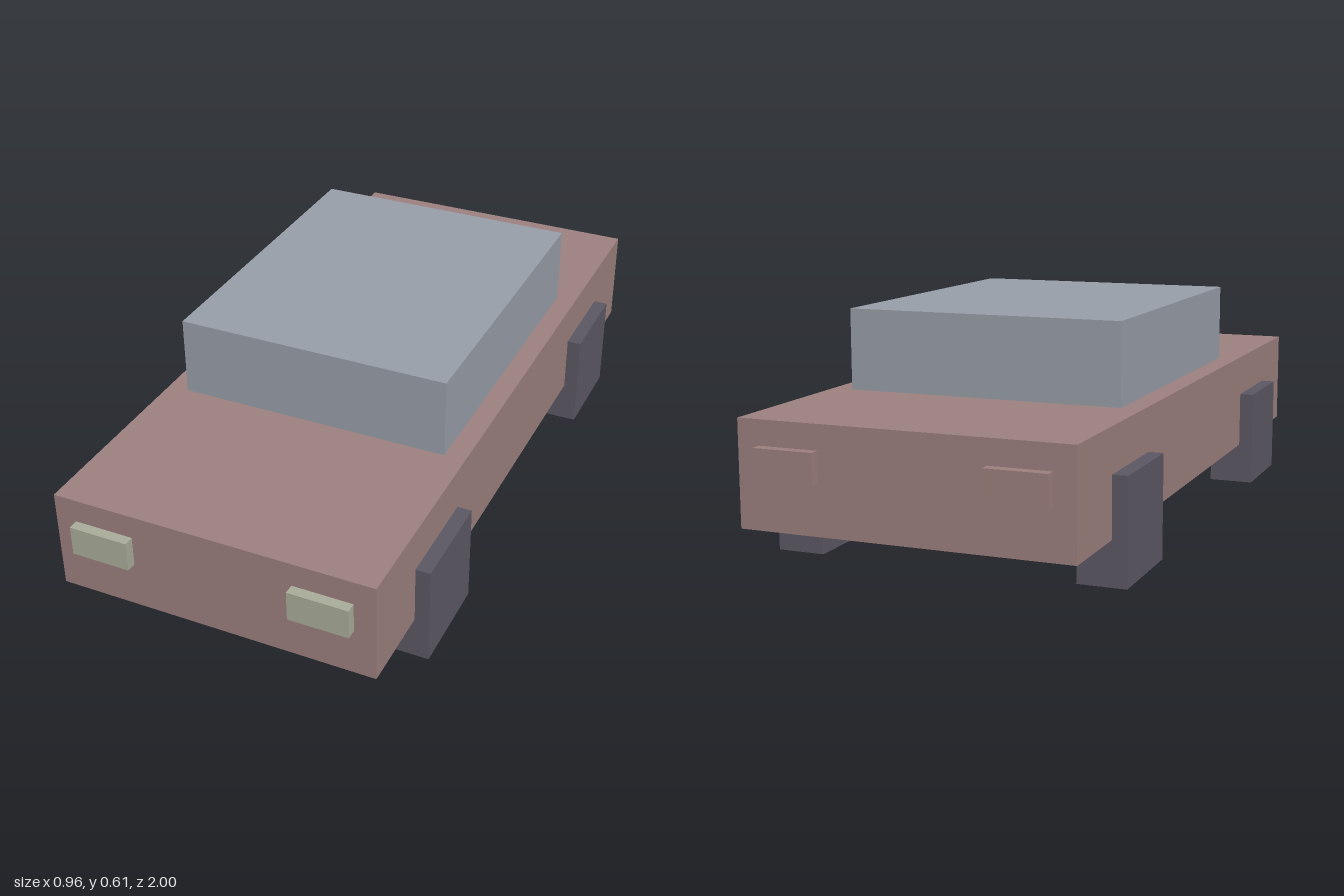
import * as THREE from 'three';

const material = (name, color) => {
  const m = new THREE.MeshStandardMaterial({ color });
  m.name = name;
  return m;
};

export function createModel() {
  const car = new THREE.Group();
  car.name = 'car';

  const paint = material('dusty red paint', 0x9c807e);
  const glass = material('blue grey cabin', 0x989ea8);
  const rubber = material('dark rubber', 0x5c5864);
  const lamp = material('pale lamp', 0xa9ac9a);
  const tail = material('tail lamp red', 0x9c7f7d);

  // Box spanning the given minimum and maximum corners
  const addBox = (name, mat, [x0, y0, z0], [x1, y1, z1]) => {
    const mesh = new THREE.Mesh(new THREE.BoxGeometry(x1 - x0, y1 - y0, z1 - z0), mat);
    mesh.position.set((x0 + x1) / 2, (y0 + y1) / 2, (z0 + z1) / 2);
    mesh.name = name;
    car.add(mesh);
  };

  addBox('body', paint, [-0.44, 0.118, -0.972], [0.44, 0.395, 0.972]);
  addBox('cabin', glass, [-0.382, 0.395, -0.51], [0.382, 0.614, 0.415]);

  for (const [side, s] of [['left', 1], ['right', -1]]) {
    // Block wheels, partly sunk into the body
    const wx = s > 0 ? [0.35, 0.48] : [-0.48, -0.35];
    addBox(`${side}FrontWheel`, rubber, [wx[0], 0, 0.461], [wx[1], 0.278, 0.739]);
    addBox(`${side}RearWheel`, rubber, [wx[0], 0, -0.739], [wx[1], 0.278, -0.461]);

    // Lamps at both ends
    const lx = s > 0 ? [0.22, 0.382] : [-0.382, -0.22];
    addBox(`${side}Headlight`, lamp, [lx[0], 0.248, 0.96], [lx[1], 0.33, 1]);
    addBox(`${side}TailLight`, tail, [lx[0], 0.248, -1], [lx[1], 0.33, -0.96]);
  }
  return car;
}
